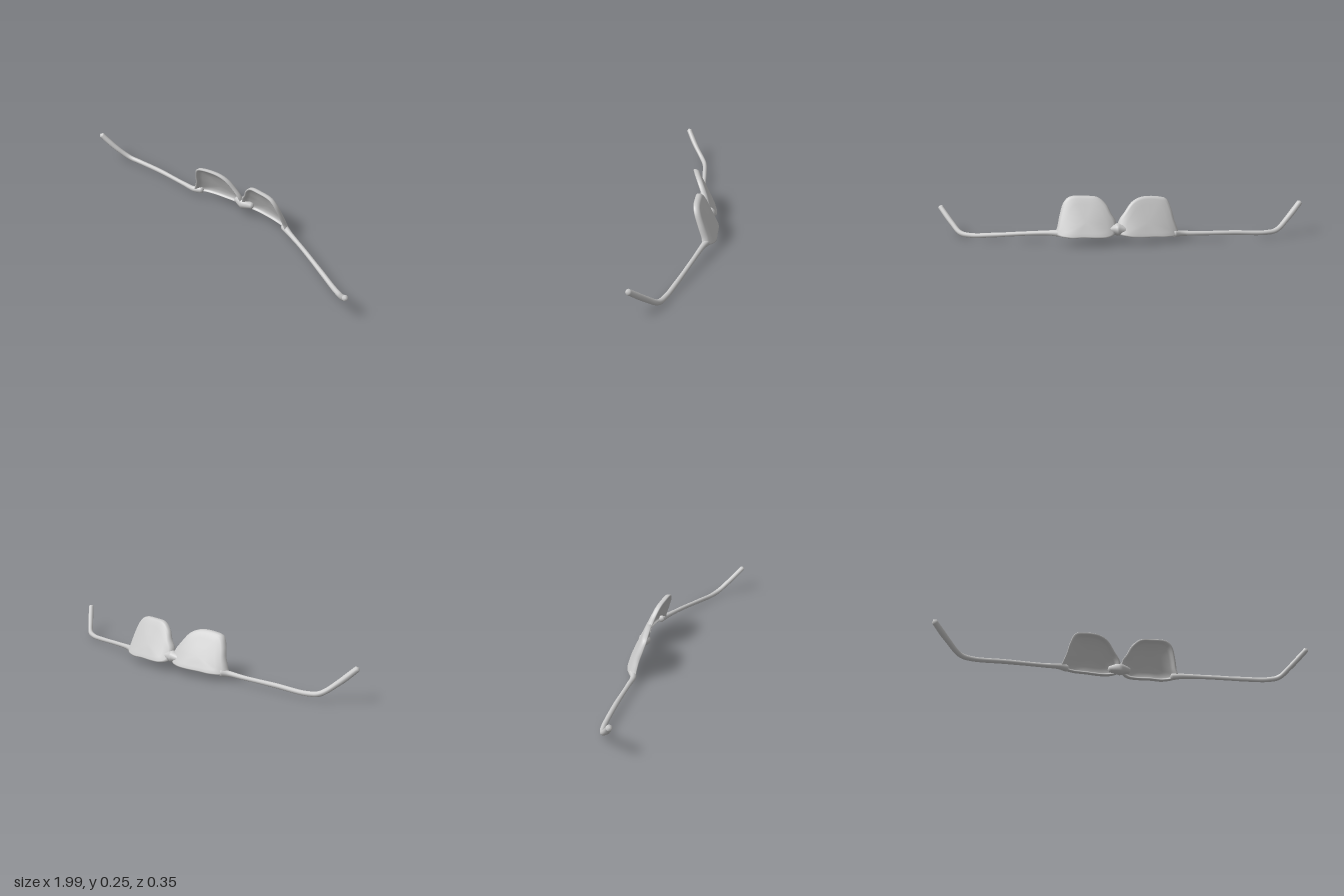
import * as THREE from 'three';
import { mergeVertices } from 'three/addons/utils/BufferGeometryUtils.js';

const material = new THREE.MeshStandardMaterial({ color: 0xcccccc });

// Tapered sweep along a path; radii are spread evenly from start to end, ends closed.
function taperedTube(name, points, radii, segments) {
  const curve = new THREE.CatmullRomCurve3(points.map(p => new THREE.Vector3(...p)));
  const sides = 10;
  const geometry = new THREE.TubeGeometry(curve, segments, 1, sides, false);
  const pos = geometry.attributes.position;
  const v = new THREE.Vector3();
  for (let i = 0; i <= segments; i++) {
    const centre = curve.getPointAt(i / segments);
    const t = (i / segments) * (radii.length - 1);
    const k = Math.min(Math.floor(t), radii.length - 2);
    let radius = THREE.MathUtils.lerp(radii[k], radii[k + 1], t - k);
    if (i === 0 || i === segments) radius = 0;
    for (let j = 0; j <= sides; j++) {
      const n = i * (sides + 1) + j;
      v.fromBufferAttribute(pos, n).sub(centre).multiplyScalar(radius).add(centre);
      pos.setXYZ(n, v.x, v.y, v.z);
    }
  }
  geometry.deleteAttribute('uv');
  geometry.deleteAttribute('normal');
  const smooth = mergeVertices(geometry);
  smooth.computeVertexNormals();
  const mesh = new THREE.Mesh(smooth, material);
  mesh.name = name;
  return mesh;
}

// Shell section from the middle of the back, round the rim, to the middle of the front:
// [share of the outline radius, offset forward]
const SECTION = [
  [0, -0.014], [0.35, -0.014], [0.7, -0.014], [0.9, -0.015], [0.97, -0.013], [1, -0.005],
  [1, 0.007], [0.97, 0.014], [0.92, 0.014], [0.87, 0.006], [0.8, -0.002], [0.5, -0.006], [0, -0.007],
];

// Wrapped, tilted lens with a raised rim. The outline runs counterclockwise seen from the front.
function lens(name, outline, centre, halfWidth, baseZ, skew) {
  const curve = new THREE.CatmullRomCurve3(outline.map(([x, y]) => new THREE.Vector3(x, y, 0)), true);
  const count = 72, rows = SECTION.length;
  const positions = [], index = [];
  for (let i = 0; i < count; i++) {
    const p = curve.getPoint(i / count);
    for (const [r, offset] of SECTION) {
      const x = centre[0] + (p.x - centre[0]) * r;
      const y = centre[1] + (p.y - centre[1]) * r;
      const u = (x - centre[0]) / halfWidth;
      const z = baseZ + skew * u + 0.035 * u ** 4 + 0.47 * (y - 0.05) - 0.004 * (1 - r * r);
      positions.push(x, y, z + offset);
    }
    const a = i * rows, b = ((i + 1) % count) * rows;
    for (let j = 0; j < rows - 1; j++) {
      if (j > 0) index.push(a + j, b + j, b + j + 1);
      if (j < rows - 2) index.push(a + j, b + j + 1, a + j + 1);
    }
  }
  const geometry = new THREE.BufferGeometry();
  geometry.setAttribute('position', new THREE.Float32BufferAttribute(positions, 3));
  geometry.setIndex(index);
  const smooth = mergeVertices(geometry);
  smooth.computeVertexNormals();
  const mesh = new THREE.Mesh(smooth, material);
  mesh.name = name;
  return mesh;
}

export function createModel() {
  const group = new THREE.Group();
  group.name = 'spectacles';

  // Lenses
  group.add(lens('rightLens', [
    [-0.31, 0.035], [-0.25, 0.03], [-0.18, 0.034], [-0.1, 0.036], [-0.03, 0.042], [0.01, 0.055],
    [0.015, 0.105], [-0.02, 0.16], [-0.06, 0.21], [-0.11, 0.232], [-0.2, 0.23], [-0.245, 0.215],
    [-0.27, 0.165], [-0.285, 0.11], [-0.302, 0.065],
  ], [-0.145, 0.11], 0.165, -0.122, -0.035));
  group.add(lens('leftLens', [
    [0.03, 0.055], [0.06, 0.042], [0.12, 0.04], [0.2, 0.042], [0.27, 0.04], [0.34, 0.055],
    [0.332, 0.09], [0.32, 0.15], [0.3, 0.21], [0.268, 0.24], [0.18, 0.244], [0.12, 0.237],
    [0.075, 0.2], [0.05, 0.155], [0.025, 0.11],
  ], [0.18, 0.12], 0.16, -0.161, 0));

  // Bridge between the lenses
  group.add(taperedTube('bridge', [
    [-0.05, 0.07, -0.122], [0.02, 0.075, -0.12], [0.08, 0.075, -0.135],
  ], [0.014, 0.034, 0.014], 16));

  // Temple arms, opened out wide, with bent ear tips
  group.add(taperedTube('rightArm', [
    [-0.27, 0.04, -0.085], [-0.32, 0.036, -0.055], [-0.4, 0.034, -0.05], [-0.6, 0.034, -0.039],
    [-0.78, 0.029, -0.022], [-0.84, 0.038, -0.003], [-0.91, 0.095, 0.045], [-0.988, 0.177, 0.097],
  ], [0.02, 0.014, 0.012, 0.012, 0.013, 0.013, 0.013, 0.014, 0.014, 0.016, 0.015], 80));
  group.add(taperedTube('leftArm', [
    [0.3, 0.058, -0.137], [0.36, 0.057, -0.115], [0.5, 0.045, -0.075], [0.68, 0.024, -0.02],
    [0.8, 0.013, 0.02], [0.86, 0.021, 0.045], [0.91, 0.064, 0.09], [0.988, 0.147, 0.167],
  ], [0.02, 0.014, 0.012, 0.012, 0.012, 0.013, 0.013, 0.014, 0.014, 0.015, 0.014], 80));

  return group;
}
